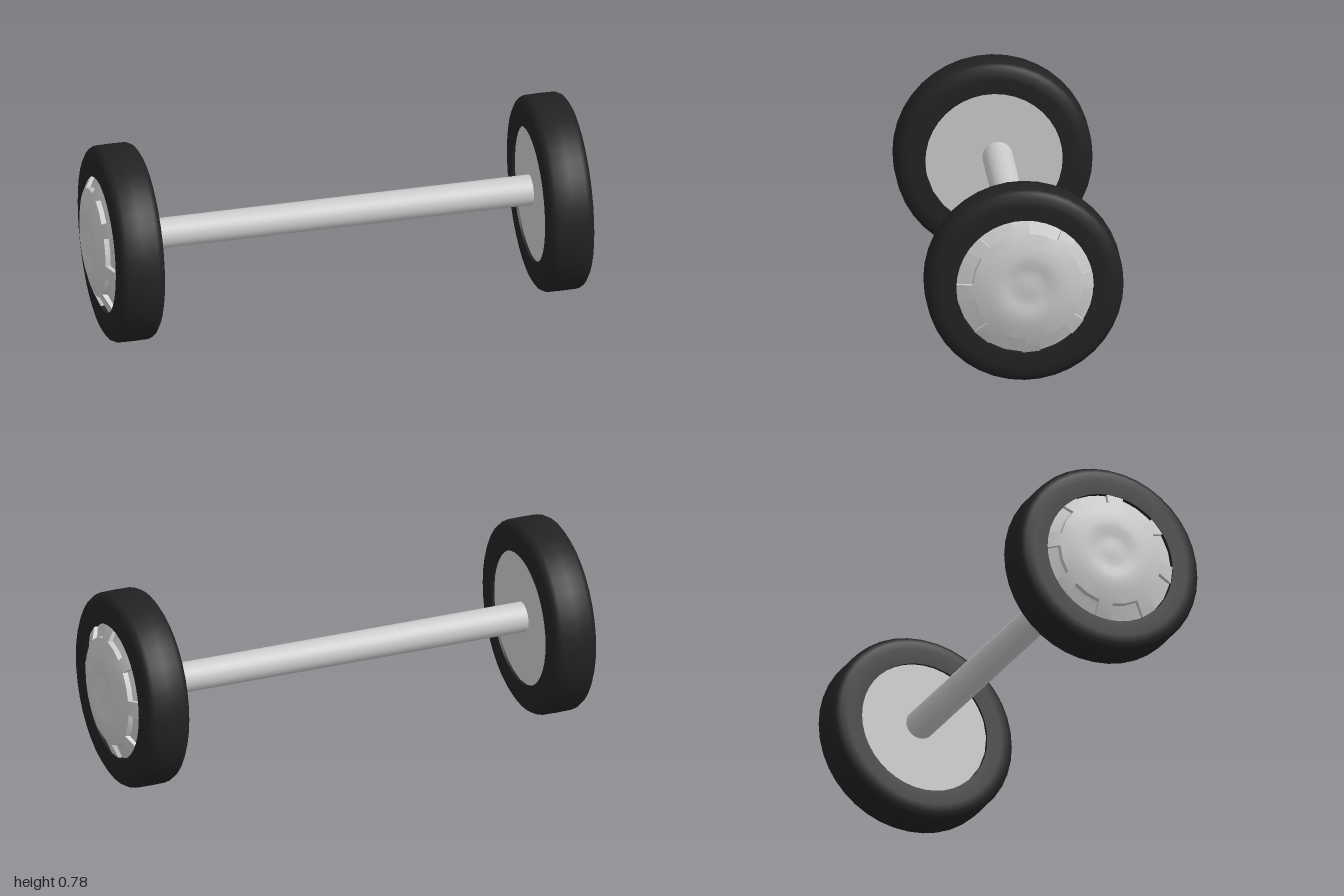
import * as THREE from 'three';
import { toCreasedNormals } from 'three/addons/utils/BufferGeometryUtils.js';

const CENTER_Y = 0.39;
const rubber = new THREE.MeshStandardMaterial({ color: 0x222222 });
const metal = new THREE.MeshStandardMaterial({ color: 0xcccccc });

// Closed tyre section (radius, offset from the middle plane) turned round the x axis
function tyreGeometry(side) {
  const section = [
    [0.27, -0.088], [0.33, -0.09], [0.362, -0.088], [0.38, -0.077], [0.389, -0.06], [0.39, 0],
    [0.389, 0.06], [0.38, 0.077], [0.362, 0.088], [0.33, 0.09], [0.27, 0.088], [0.27, -0.088],
  ].map(([r, x]) => new THREE.Vector2(r, x));
  const geometry = new THREE.LatheGeometry(section, 40);
  geometry.rotateZ(-Math.PI / 2);
  geometry.translate(side * 0.865, 0, 0);
  return toCreasedNormals(geometry, 0.9);
}

// Domed hub cap with a dimpled centre and eight notches cut into its rim
function hubGeometry(side) {
  const segments = 24;
  const dome = [[0.996, 0], [0.995, 0.03], [0.992, 0.055], [0.994, 0.075], [0.999, 0.1], [1, 0.13], [0.991, 0.17]];
  const shoulder = [0.978, 0.216], rim = [0.95, 0.272];
  const floorIn = [0.958, 0.218], floorOut = [0.935, 0.272];
  const back = [[0.787, 0.272], [0.787, 0]];
  const solid = [...dome, shoulder, rim, ...back];
  const notched = [...dome, shoulder, floorIn, floorOut, ...back];
  const positions = [];

  // The dome sits slightly off the rim's centre, in line with the axle
  const point = ([x, r], t) => {
    const shift = r < 0.22 ? 1 : 0;
    return [side * x, r * Math.cos(t) + 0.006 * shift, -r * Math.sin(t) - 0.008 * shift];
  };
  const tri = (a, b, c) => positions.push(...a, ...(side > 0 ? b : c), ...(side > 0 ? c : b));
  const quad = (a, b, c, d) => { tri(a, b, c); tri(a, c, d); };
  const wall = (t, ...corners) => quad(...corners.map((c) => point(c, t)));

  for (let i = 0; i < segments; i++) {
    const t0 = 0.04 + (i / segments) * Math.PI * 2;
    const t1 = t0 + (Math.PI * 2) / segments;
    const profile = i % 3 < 2 ? notched : solid;
    for (let j = 0; j < profile.length - 1; j++) {
      const p = profile[j], q = profile[j + 1];
      if (p[1] === 0) tri(point(p, t0), point(q, t1), point(q, t0));
      else if (q[1] === 0) tri(point(p, t0), point(p, t1), point(q, t0));
      else quad(point(p, t0), point(p, t1), point(q, t1), point(q, t0));
    }
    // Side walls of each notch
    if (i % 3 === 0) wall(t0, shoulder, floorIn, floorOut, rim);
    if (i % 3 === 1) wall(t1, shoulder, rim, floorOut, floorIn);
  }
  const geometry = new THREE.BufferGeometry();
  geometry.setAttribute('position', new THREE.Float32BufferAttribute(positions, 3));
  return toCreasedNormals(geometry, 0.6);
}

export function createModel() {
  const model = new THREE.Group();
  model.name = 'wheelAxle';
  const add = (parent, name, geometry, material) => {
    const mesh = new THREE.Mesh(geometry, material);
    mesh.name = name;
    parent.add(mesh);
    return mesh;
  };

  // Wheels, mirrored left and right
  for (const [label, side] of [['left', 1], ['right', -1]]) {
    const wheel = new THREE.Group();
    wheel.name = label + 'Wheel';
    wheel.position.y = CENTER_Y;
    add(wheel, label + 'Tyre', tyreGeometry(side), rubber);
    add(wheel, label + 'HubCap', hubGeometry(side), metal).position.set(0, 0.002, -0.002);
    model.add(wheel);
  }

  // Axle rod
  const rod = new THREE.CylinderGeometry(0.06, 0.06, 1.59, 24);
  rod.rotateZ(Math.PI / 2);
  add(model, 'axle', rod, metal).position.set(0, 0.402, -0.015);
  return model;
}
